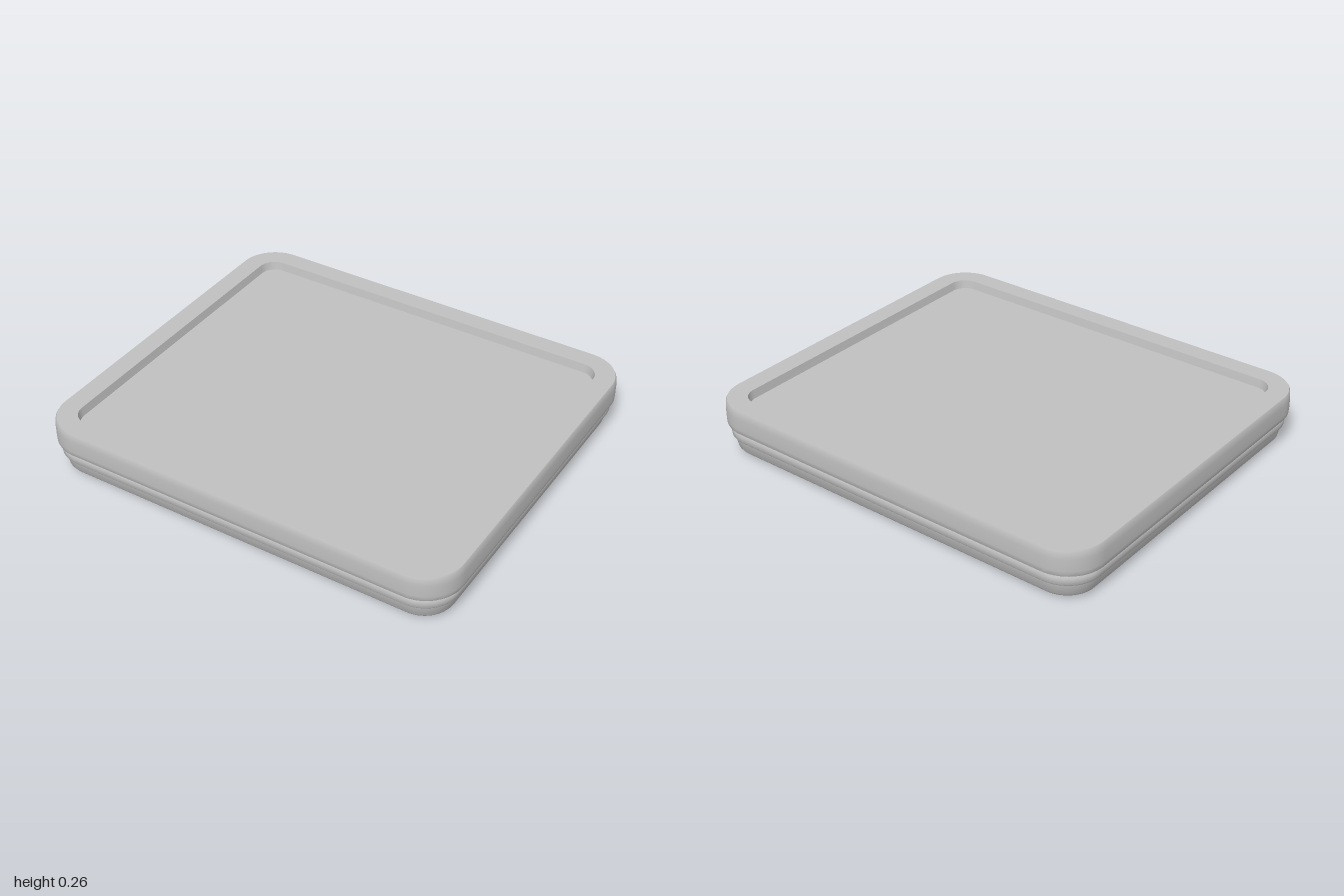
import * as THREE from 'three';
import { toCreasedNormals } from 'three/addons/utils/BufferGeometryUtils.js';

const HALF_X = 1, HALF_Z = 0.87, CORNER = 0.18, STEPS = 14;

// Rounded-rectangle loop, inset from the widest outline, at height y
function ring(inset, y) {
  const r = CORNER - inset, points = [];
  const cx = HALF_X - CORNER, cz = HALF_Z - CORNER;
  const signs = [[1, 1], [-1, 1], [-1, -1], [1, -1]];
  signs.forEach(([sx, sz], q) => {
    for (let i = 0; i <= STEPS; i++) {
      const a = (q + i / STEPS) * Math.PI / 2;
      points.push(sx * cx + r * Math.cos(a), y, sz * cz + r * Math.sin(a));
    }
  });
  return points;
}

// Closed body through [inset, y] profile points, from the underside out and up to the top
function loft(profile) {
  const n = 4 * (STEPS + 1), index = [];
  const positions = profile.flatMap(([inset, y]) => ring(inset, y));
  const last = (profile.length - 1) * n, bottom = last + n, top = bottom + 1;
  positions.push(0, profile[0][1], 0, 0, profile[profile.length - 1][1], 0);
  for (let j = 0; j < n; j++) {
    const k = (j + 1) % n;
    for (let i = 0; i < last; i += n) {
      index.push(i + j, i + n + j, i + k, i + k, i + n + j, i + n + k);
    }
    index.push(bottom, j, k, top, last + k, last + j);
  }
  const geometry = new THREE.BufferGeometry();
  geometry.setAttribute('position', new THREE.Float32BufferAttribute(positions, 3));
  geometry.setIndex(index);
  return toCreasedNormals(geometry, 0.6);
}

export function createModel() {
  const model = new THREE.Group();
  model.name = 'liddedTray';
  const plastic = new THREE.MeshStandardMaterial({ color: 0xbfbfbf });
  plastic.name = 'grey plastic';

  const add = (name, profile) => {
    const mesh = new THREE.Mesh(loft(profile), plastic);
    mesh.name = name;
    model.add(mesh);
  };

  // Tray with rounded foot and tapering walls
  add('tray', [
    [0.09, 0], [0.075, 0.003], [0.06, 0.011], [0.047, 0.02], [0.04, 0.03],
    [0.028, 0.086], [0.028, 0.12],
  ]);

  // Rounded flange around the tray mouth
  add('trayRim', [
    [0.03, 0.083], [0.021, 0.085], [0.017, 0.091], [0.016, 0.108],
    [0.017, 0.122], [0.021, 0.128], [0.03, 0.13],
  ]);

  // Narrow neck that leaves a groove under the lid
  add('neck', [[0.035, 0.12], [0.035, 0.15]]);

  // Lid with softened skirt and a recessed panel on top
  add('lid', [
    [0.012, 0.138], [0.005, 0.14], [0.001, 0.148], [0, 0.165], [0, 0.22],
    [0.003, 0.248], [0.008, 0.257], [0.1, 0.257], [0.108, 0.218],
  ]);
  return model;
}
